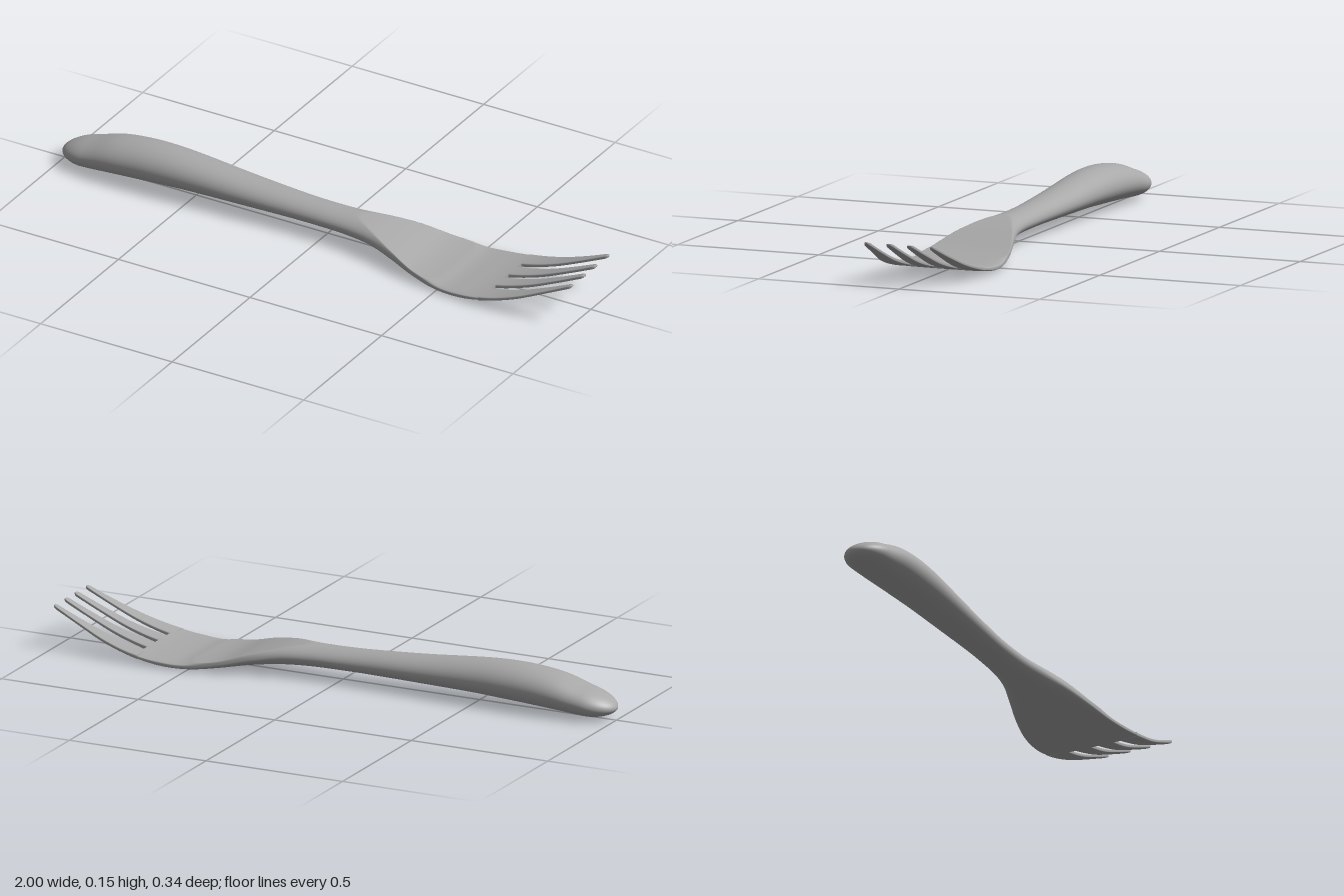
import * as THREE from 'three';

// Stations along the fork: x, half width, edge height, crown height, underside height, squareness
const STATIONS = [
  [-1.0, 0.074, 0.042, 0.080, 0.004, 2],
  [-0.9, 0.080, 0.055, 0.103, 0.007, 2],
  [-0.8, 0.088, 0.072, 0.133, 0.014, 2],
  [-0.7, 0.088, 0.081, 0.147, 0.020, 2],
  [-0.6, 0.085, 0.084, 0.150, 0.025, 2],
  [-0.5, 0.080, 0.083, 0.145, 0.030, 2],
  [-0.3, 0.070, 0.077, 0.127, 0.034, 2],
  [-0.1, 0.061, 0.072, 0.114, 0.037, 2],
  [0.0, 0.061, 0.071, 0.110, 0.037, 2],
  [0.1, 0.066, 0.071, 0.109, 0.036, 2],
  [0.2, 0.082, 0.068, 0.112, 0.031, 2],
  [0.3, 0.111, 0.053, 0.108, 0.022, 2.2],
  [0.4, 0.139, 0.031, 0.072, 0.010, 2.8],
  [0.5, 0.158, 0.016, 0.030, 0.002, 4],
  [0.6, 0.167, 0.018, 0.029, 0.006, 4.5],
  [0.7, 0.166, 0.034, 0.042, 0.026, 4.5],
  [0.8, 0.155, 0.062, 0.069, 0.055, 4.5],
  [0.9, 0.139, 0.102, 0.108, 0.096, 4.5],
  [1.0, 0.126, 0.146, 0.152, 0.140, 4.5],
];

// Height of the scooped upper face, which cuts into the handle: x, height
const SCOOP = [[0.05, 0.125], [0.12, 0.110], [0.2, 0.097], [0.3, 0.072], [0.4, 0.042], [0.5, 0.030], [0.6, 0.030], [0.7, 0.043]];

// Smooth interpolation of one column of a table
function sample(table, x, col) {
  let i = 0;
  while (i < table.length - 2 && x > table[i + 1][0]) i++;
  const slope = (k) => {
    const a = table[Math.max(k - 1, 0)], b = table[Math.min(k + 1, table.length - 1)];
    return (b[col] - a[col]) / (b[0] - a[0]);
  };
  const p = table[i], q = table[i + 1], h = q[0] - p[0];
  const t = THREE.MathUtils.clamp((x - p[0]) / h, 0, 1), t2 = t * t, t3 = t2 * t;
  return (2 * t3 - 3 * t2 + 1) * p[col] + (t3 - 2 * t2 + t) * h * slope(i)
    + (3 * t2 - 2 * t3) * q[col] + (t3 - t2) * h * slope(i + 1);
}

// Skin a row of cross-sections, closing both ends with flat caps
function loft(xs, sectionAt, sides) {
  const pos = [], index = [];
  const rings = xs.map((x) => {
    const s = sectionAt(x), ring = [];
    const pow = (v) => Math.sign(v) * Math.pow(Math.abs(v), 2 / s.n);
    for (let j = 0; j < sides; j++) {
      const a = (j / sides) * Math.PI * 2, c = pow(Math.cos(a)), k = pow(Math.sin(a));
      const y = s.edge + k * (k > 0 ? s.up : s.down);
      ring.push([x, Math.min(y, s.ceiling), s.z + s.w * c]);
    }
    return ring;
  });
  rings.forEach((ring) => ring.forEach((p) => pos.push(...p)));
  for (let i = 0; i < rings.length - 1; i++) {
    for (let j = 0; j < sides; j++) {
      const a = i * sides + j, b = i * sides + (j + 1) % sides;
      index.push(a, a + sides, b, b, a + sides, b + sides);
    }
  }
  [rings[0], rings[rings.length - 1]].forEach((ring, end) => {
    const base = pos.length / 3, s = sectionAt(ring[0][0]);
    ring.forEach((p) => pos.push(...p));
    pos.push(ring[0][0], s.edge, s.z);
    for (let j = 0; j < sides; j++) {
      const a = base + j, b = base + (j + 1) % sides, c = base + sides;
      if (end) index.push(c, b, a); else index.push(c, a, b);
    }
  });
  const geo = new THREE.BufferGeometry();
  geo.setAttribute('position', new THREE.Float32BufferAttribute(pos, 3));
  geo.setIndex(index);
  geo.computeVertexNormals();
  return geo;
}

// Quarter-ellipse shrink used to round the ends
const rounding = (distance, length) => {
  const u = THREE.MathUtils.clamp(1 - distance / length, 0, 1);
  return Math.max(Math.sqrt(1 - u * u), 0.002);
};

function bodySection(x) {
  const r = rounding(x + 1, 0.1), edge = sample(STATIONS, x, 2);
  return {
    z: 0, edge, w: sample(STATIONS, x, 1) * r,
    up: (sample(STATIONS, x, 3) - edge) * r,
    down: (edge - sample(STATIONS, x, 4)) * r,
    n: sample(STATIONS, x, 5),
    ceiling: x < 0.05 ? Infinity : sample(SCOOP, x, 1),
  };
}

// inner and outer give the z of a tine's two sides at x
function tineSection(inner, outer) {
  return (x) => {
    const r = 0.3 + 0.7 * rounding(1 - x, 0.014);
    const a = inner(x), b = outer(x), edge = sample(STATIONS, x, 2);
    return {
      z: (a + b) / 2, w: Math.abs(b - a) / 2 * r, edge,
      up: (sample(STATIONS, x, 3) - edge) * r,
      down: (edge - sample(STATIONS, x, 4)) * r,
      n: 4.5, ceiling: Infinity,
    };
  };
}

export function createModel() {
  const group = new THREE.Group();
  const steel = new THREE.MeshStandardMaterial({ color: 0xa8a8a8 });
  steel.name = 'steel';
  const add = (name, geo) => {
    const mesh = new THREE.Mesh(geo, steel);
    mesh.name = name;
    group.add(mesh);
  };

  // Handle and head in one flowing body, with closer sections at the rounded butt
  const bodyXs = [];
  for (let i = 0; i <= 16; i++) bodyXs.push(-1 + 0.1 * (1 - Math.cos((i / 16) * Math.PI / 2)));
  for (let i = 1; i <= 120; i++) bodyXs.push(-0.9 + (1.58 * i) / 120);
  add('handleAndHead', loft(bodyXs, bodySection, 96));

  // Four tapering tines, mirrored about the middle
  const tineXs = [];
  for (let i = 0; i <= 24; i++) tineXs.push(0.67 + (0.316 * i) / 24);
  for (let i = 1; i <= 6; i++) tineXs.push(0.986 + 0.014 * Math.sin((i / 6) * Math.PI / 2));
  const between = (a, b) => (x) => THREE.MathUtils.mapLinear(x, 0.68, 1, a, b);
  for (const side of [1, -1]) {
    const name = side > 0 ? 'Left' : 'Right';
    const mirrored = (f) => (x) => side * f(x);
    add('innerTine' + name, loft(tineXs, tineSection(mirrored(between(0.012, 0.025)), mirrored(between(0.071, 0.048))), 40));
    add('outerTine' + name, loft(tineXs, tineSection(mirrored(between(0.095, 0.107)), mirrored((x) => sample(STATIONS, x, 1))), 40));
  }
  return group;
}
